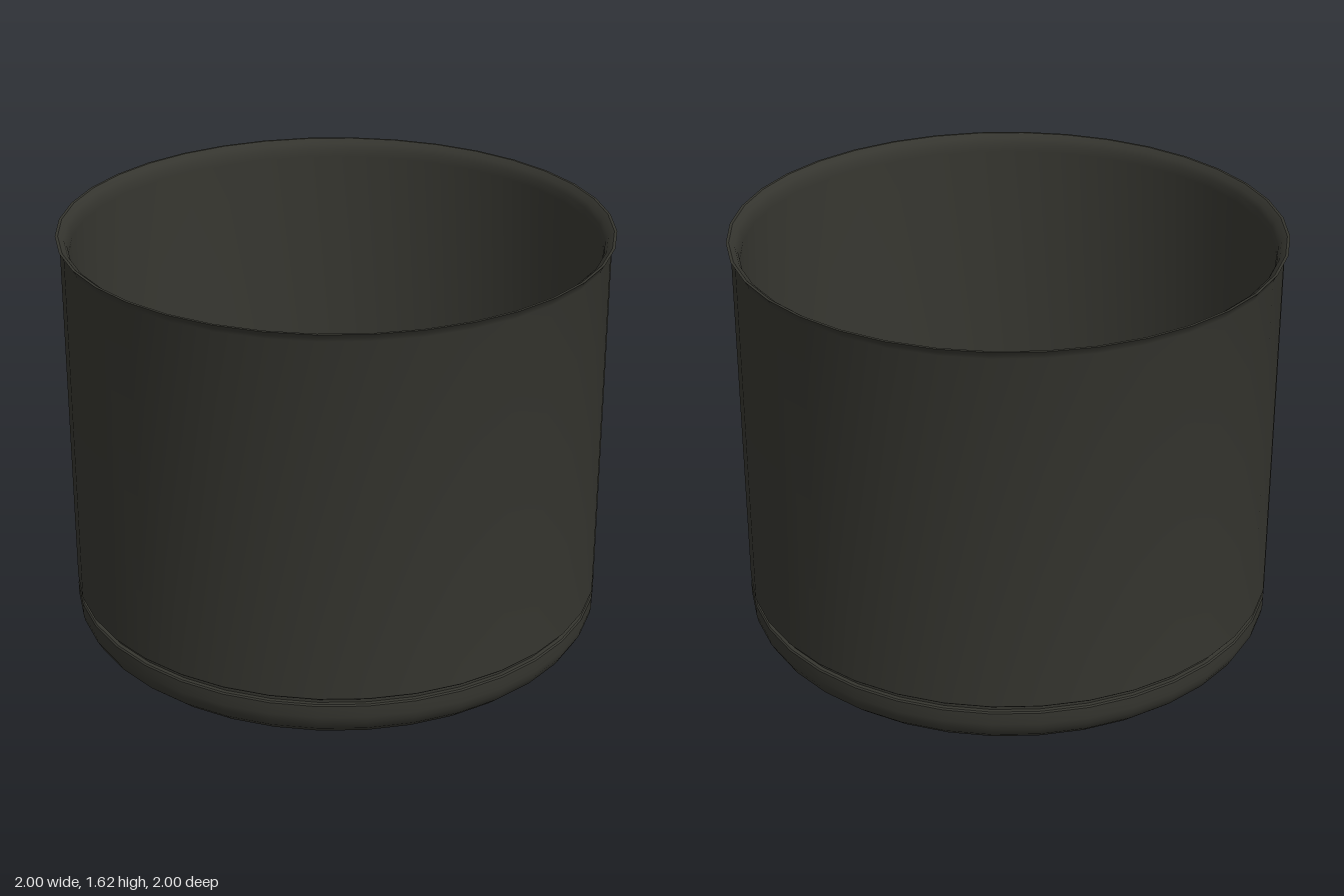
import * as THREE from 'three';
import { toCreasedNormals } from 'three/addons/utils/BufferGeometryUtils.js';

const SEGMENTS = 36;

// Revolve a [radius, height] profile, keeping sharp corners crisp
function turned(name, profile, material) {
  const points = profile.map(([r, y]) => new THREE.Vector2(r, y));
  const geometry = toCreasedNormals(new THREE.LatheGeometry(points, SEGMENTS), 0.6);
  const mesh = new THREE.Mesh(geometry, material);
  mesh.name = name;
  return mesh;
}

export function createModel() {
  const group = new THREE.Group();
  group.name = 'cookingPot';
  const metal = new THREE.MeshStandardMaterial({ color: 0x35352f, side: THREE.DoubleSide });

  // Thick base with a rounded lower edge, stepping in to the groove
  group.add(turned('base', [
    [0, 0], [0.7, 0], [0.75, 0.005], [0.81, 0.02], [0.87, 0.045], [0.92, 0.075],
    [0.96, 0.11], [0.98, 0.145], [0.985, 0.17], [0.985, 0.215], [0.98, 0.22],
    [0.965, 0.22], [0.965, 0.24],
  ], metal));

  // Wall with flared lip, inner side and filleted floor
  group.add(turned('potWall', [
    [0.965, 0.24], [0.98, 0.24], [0.985, 0.245], [0.985, 1.585], [0.99, 1.6], [1, 1.615],
    [0.99, 1.615], [0.97, 1.6], [0.96, 1.58], [0.955, 1.55],
    [0.955, 0.31], [0.947, 0.28], [0.93, 0.26], [0.9, 0.25], [0, 0.25],
  ], metal));

  return group;
}
